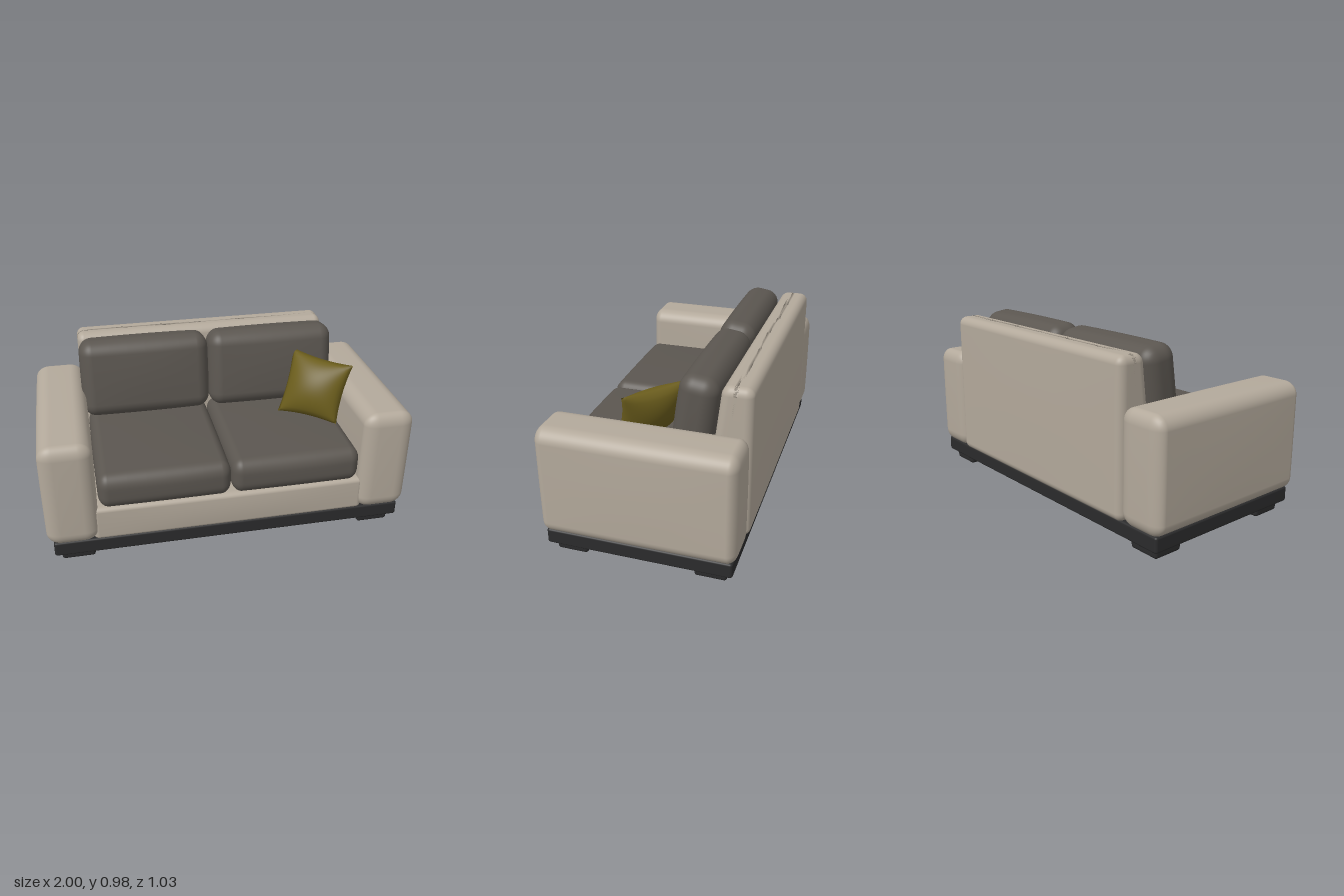
import * as THREE from 'three';
import { mergeGeometries, mergeVertices } from 'three/addons/utils/BufferGeometryUtils.js';

const mat = (name, color) => new THREE.MeshStandardMaterial({ name, color });

// Drop seams so that normals are smooth across the whole surface
function smooth(geo) {
  geo.deleteAttribute('normal');
  geo.deleteAttribute('uv');
  const g = mergeVertices(geo, 1e-4);
  g.computeVertexNormals();
  return g;
}

// Upholstered block: rounded box with radii r and outward bulge per axis;
// an optional rule moves the finished points.
function softBox(size, r, bulge = [0, 0, 0], rule = null) {
  const N = 18, K = 6;
  const half = size.map((s) => s / 2);
  const geo = new THREE.BoxGeometry(2, 2, 2, N, N, N);
  const pos = geo.attributes.position;
  // split one axis into the flat part and the position inside the rounding
  const split = (t, h, rad) => {
    const i = Math.round(Math.abs(t) * N / 2), flat = N / 2 - K, s = Math.sign(t);
    if (i <= flat) return [s * (h - rad) * i / flat, 0];
    return [s * (h - rad), s * Math.tan((i - flat) / K * Math.PI / 4)];
  };
  const p = new THREE.Vector3(), d = new THREE.Vector3();
  for (let i = 0; i < pos.count; i++) {
    p.fromBufferAttribute(pos, i);
    const parts = p.toArray().map((t, a) => split(t, half[a], r[a]));
    d.set(parts[0][1], parts[1][1], parts[2][1]).normalize();
    const q = parts.map((c, a) => c[0] + d.getComponent(a) * r[a]);
    const w = q.map((c, a) => 1 - (c / half[a]) ** 2);
    const out = q.map((c, a) => c + (c / half[a]) * bulge[a] * w[(a + 1) % 3] * w[(a + 2) % 3]);
    if (rule) rule(out);
    pos.setXYZ(i, out[0], out[1], out[2]);
  }
  return smooth(geo);
}

// Throw pillow stretched between four corners, with pulled-in edges
function pillowGeometry(tl, tr, br, bl, thickness) {
  const normal = tr.clone().sub(bl).cross(tl.clone().sub(br)).normalize();
  const sides = [1, -1].map((side) => {
    const g = new THREE.PlaneGeometry(2, 2, 24, 24);
    if (side < 0) g.rotateY(Math.PI);
    const pos = g.attributes.position;
    for (let i = 0; i < pos.count; i++) {
      const x = pos.getX(i), y = pos.getY(i);
      const u = (x * (1 - 0.08 * (1 - y * y)) + 1) / 2;
      const v = (y * (1 - 0.08 * (1 - x * x)) + 1) / 2;
      const low = bl.clone().lerp(br, u), high = tl.clone().lerp(tr, u);
      const puff = Math.pow(Math.max(0, (1 - x * x) * (1 - y * y)), 0.6);
      low.lerp(high, v).addScaledVector(normal, side * thickness * puff);
      pos.setXYZ(i, low.x, low.y, low.z);
    }
    return g;
  });
  return smooth(mergeGeometries(sides));
}

export function createModel() {
  const sofa = new THREE.Group();
  sofa.name = 'sofa';
  const fabric = mat('beige fabric', 0xb3a99b);
  const cushion = mat('grey cushion fabric', 0x5b5650);
  const olive = mat('olive pillow fabric', 0x6b5d1c);
  const wood = mat('black wood', 0x2b2b2c);

  const add = (name, geo, material, x, y, z) => {
    const m = new THREE.Mesh(geo, material);
    m.name = name;
    m.position.set(x, y, z);
    sofa.add(m);
    return m;
  };

  // Plinth and feet
  add('plinth', softBox([1.93, 0.085, 0.98], [0.015, 0.012, 0.015]), wood, 0, 0.0965, 0);
  const foot = softBox([0.18, 0.075, 0.17], [0.015, 0.015, 0.015], [0, 0, 0], (q) => {
    const k = 1 + q[1] * 0.5;
    q[0] *= k;
    q[2] *= k;
  });
  for (const x of [-0.84, 0.84]) for (const z of [-0.37, 0.37]) add('foot', foot, wood, x, 0.0375, z);

  // Seat base and backrest
  add('seatBase', softBox([1.5, 0.2, 0.94], [0.03, 0.025, 0.03], [0, 0, 0.008]), fabric, 0, 0.224, 0.015);
  add('backrest', softBox([1.47, 0.825, 0.2], [0.04, 0.045, 0.045], [0, 0, 0.004], (q) => {
    if (q[2] > 0) q[2] -= 0.12 * Math.max(0, q[1] - 0.05); // front face leans back
  }), fabric, 0, 0.5425, -0.414);

  // Arms
  const arm = softBox([0.275, 0.595, 1.02], [0.075, 0.07, 0.05], [0.006, 0.002, 0.004]);
  // Seat and back cushions
  const seat = softBox([0.708, 0.2, 0.81], [0.055, 0.07, 0.06], [0.004, 0.01, 0.008]);
  const back = softBox([0.73, 0.44, 0.2], [0.07, 0.075, 0.075], [0.004, 0.006, 0.014]);
  for (const s of [-1, 1]) {
    add(s > 0 ? 'leftArm' : 'rightArm', arm, fabric, s * 0.858, 0.4275, 0);
    add('seatCushion', seat, cushion, s * 0.357, 0.422, 0.1);
    const b = add('backCushion', back, cushion, s * 0.369, 0.752, -0.216);
    b.rotation.x = -0.14;
  }

  // Throw pillow leaning in the left corner
  const V = (x, y, z) => new THREE.Vector3(x, y, z);
  add('throwPillow', pillowGeometry(V(0.5, 0.865, -0.14), V(0.77, 0.845, 0.125),
    V(0.67, 0.52, 0.2), V(0.38, 0.535, 0.0), 0.085), olive, 0, 0, 0);

  return sofa;
}
